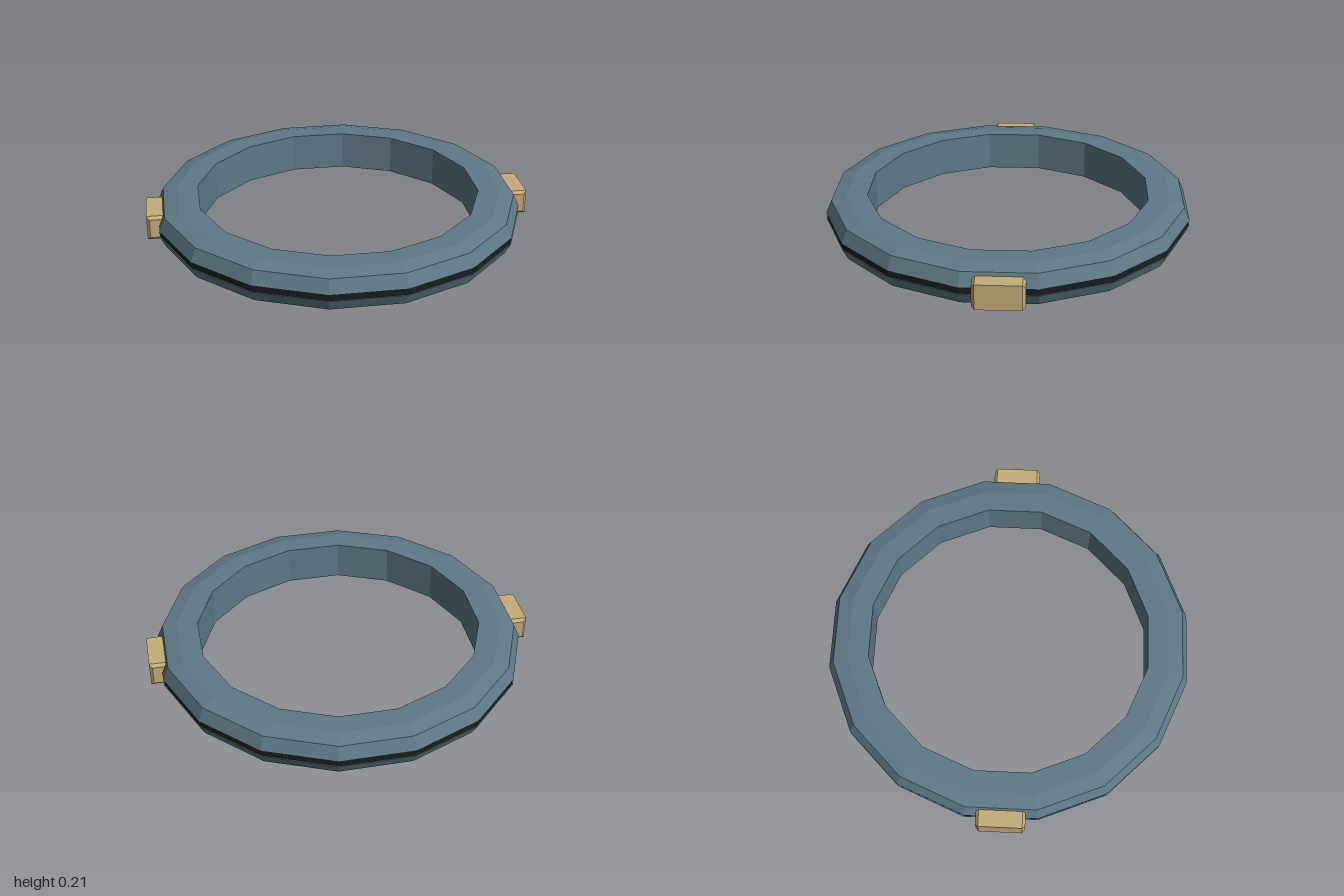
import * as THREE from 'three';

const SIDES = 16;
const TO_CORNER = 1 / Math.cos(Math.PI / SIDES); // flat radius to corner radius

// Revolves [flat radius, height] points into a 16-sided ring with flats facing the axes
function ringGeometry(points) {
  const profile = points.map(([r, y]) => new THREE.Vector2(r * TO_CORNER, y));
  return new THREE.LatheGeometry(profile, SIDES, Math.PI / SIDES);
}

// Box with chamfered edges, centred on its own origin
function chamferBox(w, h, d, c) {
  const x = w / 2 - c, y = h / 2 - c;
  const shape = new THREE.Shape([
    new THREE.Vector2(-x, -y), new THREE.Vector2(x, -y),
    new THREE.Vector2(x, y), new THREE.Vector2(-x, y),
  ]);
  const geo = new THREE.ExtrudeGeometry(shape, {
    depth: d - 2 * c, bevelEnabled: true, bevelThickness: c, bevelSize: c, bevelSegments: 1,
  });
  geo.translate(0, 0, -(d / 2 - c));
  return geo;
}

export function createModel() {
  const model = new THREE.Group();
  model.name = 'ring';

  const steel = new THREE.MeshStandardMaterial({ color: 0x5f7a86, flatShading: true });
  steel.name = 'blue grey';
  const black = new THREE.MeshStandardMaterial({ color: 0x1b1d1f, flatShading: true });
  black.name = 'black';
  const tan = new THREE.MeshStandardMaterial({ color: 0xc4ab78, flatShading: true });
  tan.name = 'tan';

  const add = (name, geometry, material) => {
    const mesh = new THREE.Mesh(geometry, material);
    mesh.name = name;
    model.add(mesh);
    return mesh;
  };

  // Ring body, in two halves around a shallow groove
  add('lowerRing', ringGeometry([
    [0.725, 0.105], [0.725, 0], [0.835, 0], [0.908, 0.03], [0.938, 0.09], [0.932, 0.09],
  ]), steel);
  add('upperRing', ringGeometry([
    [0.932, 0.123], [0.938, 0.123], [0.908, 0.192], [0.835, 0.21], [0.725, 0.21], [0.725, 0.105],
  ]), steel);

  // Dark band in the groove
  add('grooveBand', ringGeometry([[0.933, 0.09], [0.933, 0.123]]), black);

  // Side blocks
  for (const [name, side] of [['leftBlock', 1], ['rightBlock', -1]]) {
    add(name, chamferBox(0.09, 0.13, 0.25, 0.015), tan).position.set(side * 0.955, 0.11, 0);
  }

  return model;
}
